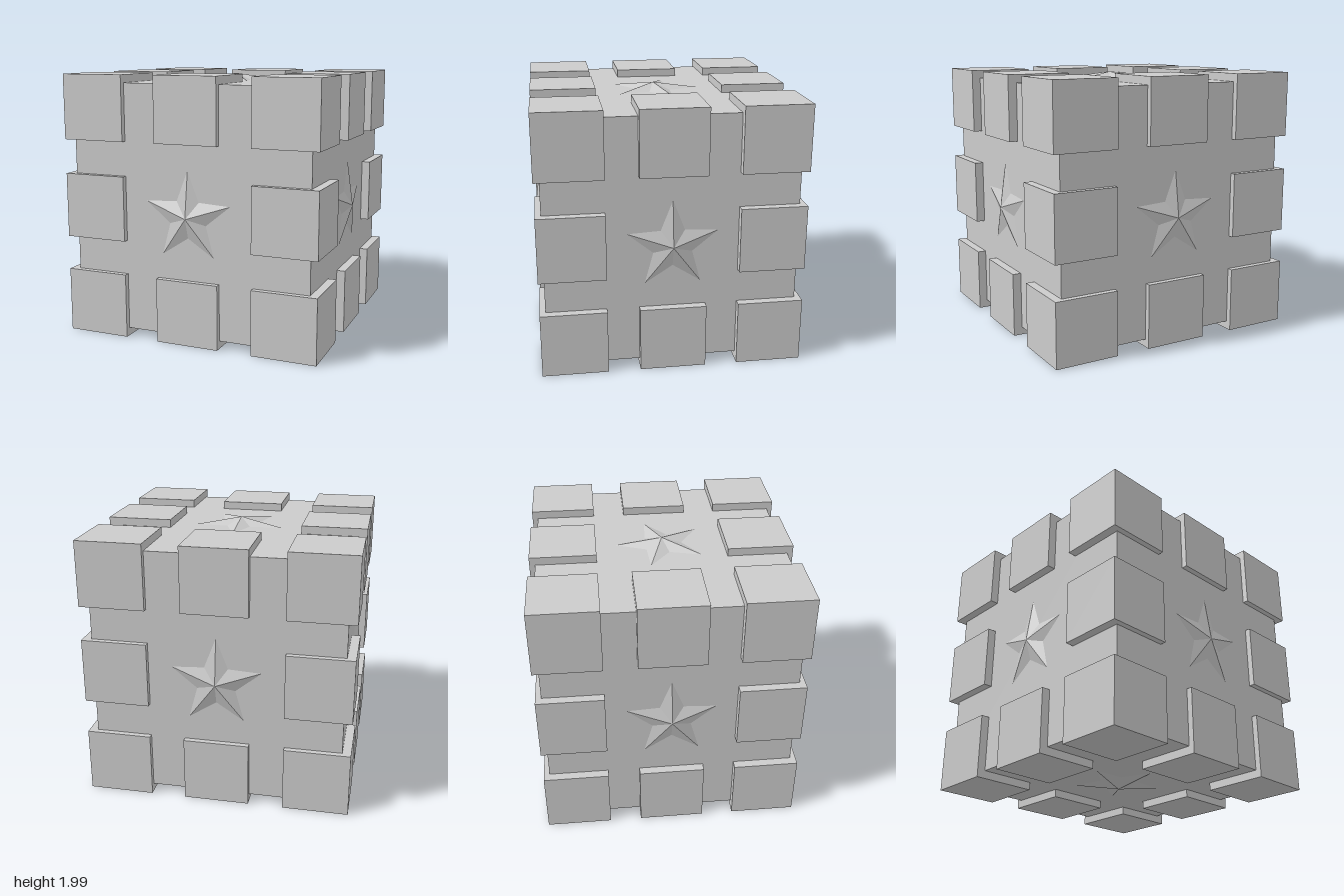
import * as THREE from 'three';

const material = new THREE.MeshStandardMaterial({ color: 0xcccccc, flatShading: true });
const MID = 0.995; // height of the cube's centre

// Five-pointed faceted star, tip towards +y, apex towards +z
function starGeometry(outer, inner, height) {
  const rim = [];
  for (let i = 0; i < 10; i++) {
    const a = Math.PI / 2 + (i * Math.PI) / 5;
    const r = i % 2 ? inner : outer;
    rim.push([r * Math.cos(a), r * Math.sin(a), 0]);
  }
  const pos = [];
  rim.forEach((p, i) => pos.push(...p, ...rim[(i + 1) % 10], 0, 0, height));
  const geo = new THREE.BufferGeometry();
  geo.setAttribute('position', new THREE.Float32BufferAttribute(pos, 3));
  geo.computeVertexNormals();
  return geo;
}

export function createModel() {
  const model = new THREE.Group();

  // Inner cube
  const core = new THREE.Mesh(new THREE.BoxGeometry(1.87, 1.87, 1.87), material);
  core.name = 'core';
  core.position.y = MID;
  model.add(core);

  // Raised blocks on the 8 corners and 12 edges
  const blocks = new THREE.Group();
  blocks.name = 'blocks';
  const blockGeo = new THREE.BoxGeometry(0.492, 0.49, 0.492);
  for (const x of [-1, 0, 1]) for (const y of [-1, 0, 1]) for (const z of [-1, 0, 1]) {
    const outerAxes = Math.abs(x) + Math.abs(y) + Math.abs(z);
    if (outerAxes < 2) continue;
    const block = new THREE.Mesh(blockGeo, material);
    block.name = outerAxes === 3 ? 'cornerBlock' : 'edgeBlock';
    block.position.set(x * 0.754, MID + y * 0.75, z * 0.732);
    blocks.add(block);
  }
  model.add(blocks);

  // One star on each face: [name, rotation x, rotation y, shift along the star's tip]
  const starGeo = starGeometry(0.35, 0.15, 0.05);
  const faces = [
    ['frontStar', 0, 0, -0.033],
    ['leftStar', 0, Math.PI / 2, -0.033],
    ['backStar', 0, Math.PI, -0.033],
    ['rightStar', 0, -Math.PI / 2, -0.033],
    ['topStar', -Math.PI / 2, 0, -0.015],
    ['bottomStar', Math.PI / 2, 0, -0.015],
  ];
  for (const [name, rx, ry, shift] of faces) {
    const star = new THREE.Mesh(starGeo, material);
    star.name = name;
    star.rotation.set(rx, ry, 0);
    star.position.set(0, shift, 0.935).applyEuler(star.rotation);
    star.position.y += MID;
    model.add(star);
  }
  return model;
}
